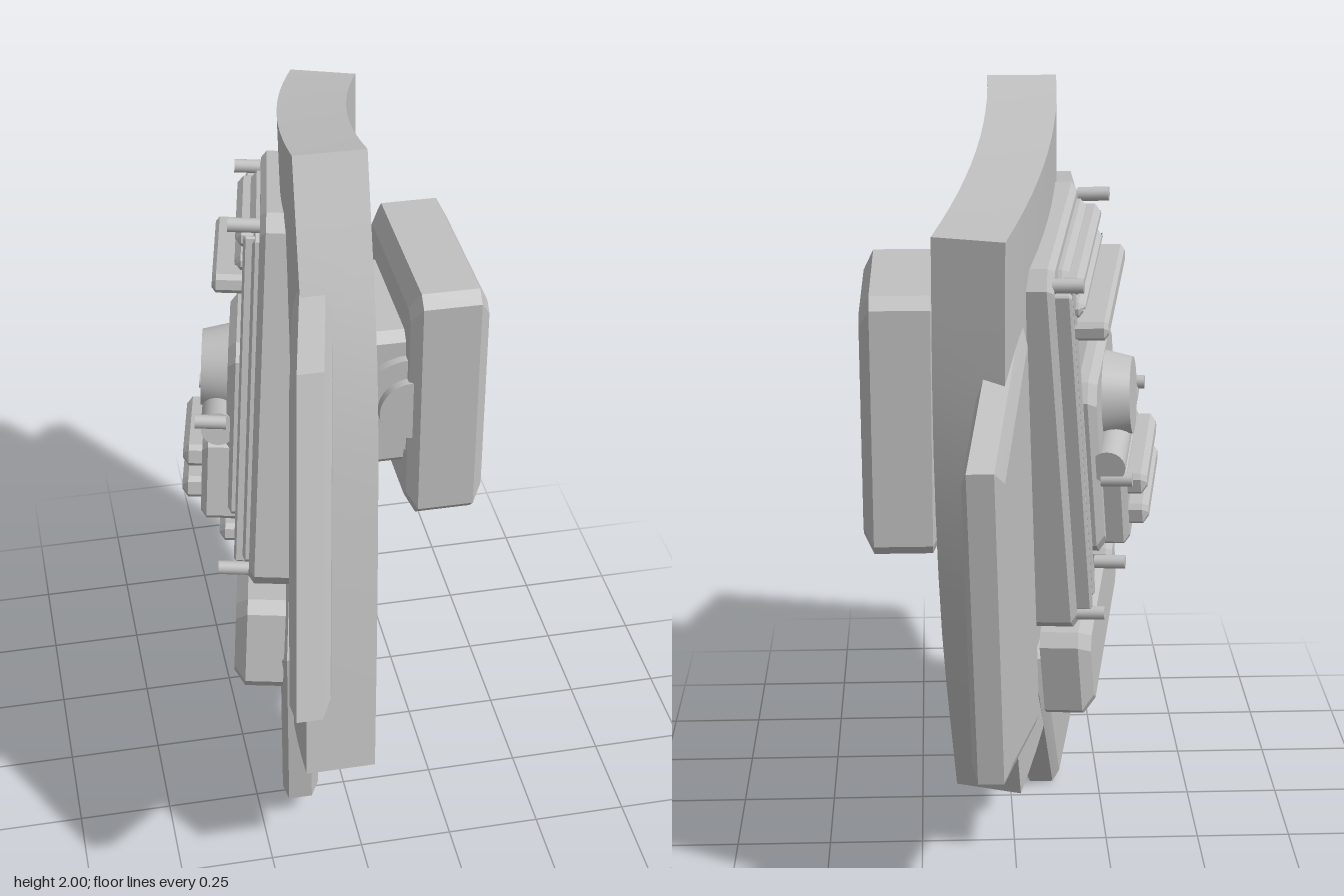
import * as THREE from 'three';
import { toCreasedNormals } from 'three/addons/utils/BufferGeometryUtils.js';

const V = (x, y, z) => new THREE.Vector3(x, y, z);

// Closed solid through matching rings of points, with strip caps at both ends
function loft(rings, crease = 0.3) {
  const n = rings[0].length, last = rings.length - 1, tris = [];
  const quad = (a, b, c, d) => tris.push([a, b, c], [a, c, d]);
  for (let r = 0; r < last; r++)
    for (let i = 0; i < n; i++) {
      const j = (i + 1) % n;
      quad(rings[r][i], rings[r][j], rings[r + 1][j], rings[r + 1][i]);
    }
  for (let i = 0; i < Math.floor((n - 1) / 2); i++) {
    const pick = (R) => [R[i], R[i + 1], R[n - 2 - i], R[n - 1 - i]];
    quad(...pick(rings[0]).reverse());
    quad(...pick(rings[last]));
  }
  // turn the faces outward
  let volume = 0;
  for (const [a, b, c] of tris) volume += a.dot(V().crossVectors(b, c));
  const pos = [];
  for (const [a, b, c] of tris)
    for (const p of volume > 0 ? [a, b, c] : [a, c, b]) pos.push(p.x, p.y, p.z);
  const geo = new THREE.BufferGeometry();
  geo.setAttribute('position', new THREE.Float32BufferAttribute(pos, 3));
  return toCreasedNormals(geo, crease);
}

// Octagonal outline of a rectangle with cut corners
function octagon(cx, cy, hw, hh, c, w) {
  return [[-hw + c, -hh], [hw - c, -hh], [hw, -hh + c], [hw, hh - c],
    [hw - c, hh], [-hw + c, hh], [-hw, hh - c], [-hw, -hh + c]]
    .map(([x, y]) => V(cx + x, cy + y, w));
}

export function createModel() {
  const model = new THREE.Group();
  model.name = 'shieldAssembly';
  const grey = new THREE.MeshStandardMaterial({ color: 0xc0c0c0 });
  grey.name = 'plain grey';

  const add = (parent, name, geo) => {
    const mesh = new THREE.Mesh(geo, grey);
    mesh.name = name;
    parent.add(mesh);
    return mesh;
  };

  // Main curved plate: front edge, back edge, hollow on the outer side
  const frontEdge = new THREE.CatmullRomCurve3(
    [V(0.055, 2, 0.21), V(0.04, 1.52, 0.42), V(0.02, 0.97, 0.55), V(0, 0.445, 0.645)]);
  const backEdge = new THREE.CatmullRomCurve3(
    [V(0.205, 1.775, -0.635), V(0.205, 1.25, -0.6), V(0.19, 0.72, -0.48), V(0.155, 0.2, -0.3)]);
  const rows = [];
  for (let r = 0; r <= 9; r++) {
    const a = frontEdge.getPoint(r / 9), b = backEdge.getPoint(r / 9);
    const outer = [], inner = [];
    for (let i = 0; i <= 12; i++) {
      const u = i / 12, p = a.clone().lerp(b, u);
      p.x -= 0.15 * u * (1 - u);
      outer.push(p);
      inner.unshift(V(p.x - 0.18 + 0.012 * u, p.y, p.z - 0.06 * u));
    }
    rows.push([...outer, ...inner]);
  }
  add(model, 'mainPlate', loft(rows, 0.5));

  // Side fins: outline in (z, y), leaning in x along z, bevelled on both faces
  function fin(name, outline, xAt) {
    const n = outline.length;
    const cz = outline.reduce((s, p) => s + p[0], 0) / n;
    const cy = outline.reduce((s, p) => s + p[1], 0) / n;
    const ring = (dx, k) => outline.map(([z, y]) => {
      const pz = cz + (z - cz) * k, py = cy + (y - cy) * (1 - (1 - k) * 0.7);
      return V(xAt(pz) + dx, py, pz);
    });
    add(model, name, loft([ring(-0.05, 0.86), ring(-0.032, 1), ring(0.032, 1), ring(0.05, 0.86)]));
  }
  fin('frontFin', [[0.28, 1.71], [0.61, 1.66], [0.89, 0.86], [0.61, 0.64], [0.5, 0.57]],
    (z) => -0.1 - 0.21 * (z - 0.33));
  fin('backFin', [[-0.51, 1.545], [-0.885, 1.29], [-0.755, 0.44], [-0.27, 0.355]],
    (z) => 0.1 - 0.2 * (z + 0.88));
  fin('lowerFin', [[0.4, 0.62], [0.36, 0.075], [0.08, 0], [-0.28, 0.55]],
    (z) => -0.145 - 0.2 * (z - 0.36));

  // Outer pad and its mount, built facing local +z and turned to +x
  const pad = new THREE.Group();
  pad.name = 'padAssembly';
  pad.position.set(0, 1.21, -0.08);
  pad.rotation.y = Math.PI / 2;
  model.add(pad);
  add(pad, 'pad', loft([
    octagon(0, 0, 0.24, 0.29, 0.025, 0.182), octagon(0, 0, 0.265, 0.34, 0.03, 0.21),
    octagon(0, 0, 0.265, 0.34, 0.03, 0.36), octagon(0, 0, 0.24, 0.29, 0.025, 0.386)]));
  add(pad, 'padMount', loft([
    octagon(0, 0, 0.19, 0.18, 0.02, 0.045), octagon(0, 0, 0.2, 0.205, 0.025, 0.07),
    octagon(0, 0, 0.2, 0.205, 0.025, 0.19)]));
  for (const [name, r, len] of [['pivotDrum', 0.14, 0.45], ['pivotPin', 0.085, 0.5]]) {
    const drum = add(pad, name, new THREE.CylinderGeometry(r, r, len, 32));
    drum.rotation.z = Math.PI / 2;
    drum.position.z = 0.19;
  }

  // Inner machinery: local x runs forward, y up, z away from the plate
  const gear = new THREE.Group();
  gear.name = 'innerMachinery';
  const u = V(-0.1, 0.115, 0.576).normalize();
  const v = V(0.075, 1, -0.15);
  v.addScaledVector(u, -v.dot(u)).normalize();
  gear.applyMatrix4(new THREE.Matrix4().makeBasis(u, v, V().crossVectors(u, v)));
  gear.position.set(-0.15, 1.2, -0.125);
  model.add(gear);

  // Bevelled block between heights w0 and w1
  function block(name, cu, cv, width, height, w0, w1, bevel = 0.015, cut = 0.012) {
    const hw = width / 2, hh = height / 2;
    add(gear, name, loft([
      octagon(cu, cv, hw, hh, cut, w0), octagon(cu, cv, hw, hh, cut, w1 - bevel),
      octagon(cu, cv, hw - bevel, hh - bevel, cut, w1)]));
  }
  block('basePanel', 0, 0, 0.6, 1.03, -0.1, 0.02, 0.015, 0.04);
  block('raisedPanel', 0.02, 0, 0.5, 0.96, 0, 0.045, 0.015, 0.04);
  block('lowerCover', 0.03, -0.65, 0.68, 0.26, -0.08, 0.05, 0.03, 0.03);

  // Long rails beside the panel
  for (const x of [-0.265, -0.2, 0.25]) block('sideRail', x, 0, 0.025, 0.9, 0, 0.06, 0.006, 0.004);

  // Upper cooling ribs
  block('upperRib', 0.02, 0.44, 0.46, 0.045, 0.03, 0.08);
  block('upperRib', 0.02, 0.375, 0.46, 0.04, 0.03, 0.08);
  block('upperLedge', 0.02, 0.32, 0.47, 0.05, 0.03, 0.135, 0.01);

  // Central housing with dome, roller and stepped ribs
  block('centreHousing', 0.03, -0.1, 0.44, 0.5, 0.03, 0.09, 0.02, 0.04);
  const dome = add(gear, 'centreDisc', new THREE.CylinderGeometry(0.1, 0.12, 0.08, 32));
  dome.rotation.x = Math.PI / 2;
  dome.position.set(0.04, 0.01, 0.12);
  const roller = add(gear, 'roller', new THREE.CylinderGeometry(0.045, 0.045, 0.42, 24));
  roller.rotation.z = Math.PI / 2;
  roller.position.set(0.03, -0.08, 0.11);
  block('ribBase', 0.05, -0.23, 0.38, 0.22, 0.06, 0.15);
  for (const y of [-0.17, -0.26]) block('centreRib', 0.05, y, 0.34, 0.06, 0.12, 0.2);
  block('lowerRib', 0.05, -0.38, 0.38, 0.05, 0.03, 0.1);

  // Small pegs
  for (const [x, y, w] of [[-0.26, 0.47, 0.05], [0.26, 0.48, 0.06], [-0.26, -0.47, 0.05],
    [0.26, -0.47, 0.06], [-0.17, -0.12, 0.13], [0.24, -0.06, 0.13], [-0.17, -0.37, 0.1]]) {
    const peg = add(gear, 'peg', new THREE.CylinderGeometry(0.018, 0.018, 0.08, 16));
    peg.rotation.x = Math.PI / 2;
    peg.position.set(x, y, w);
  }

  return model;
}
